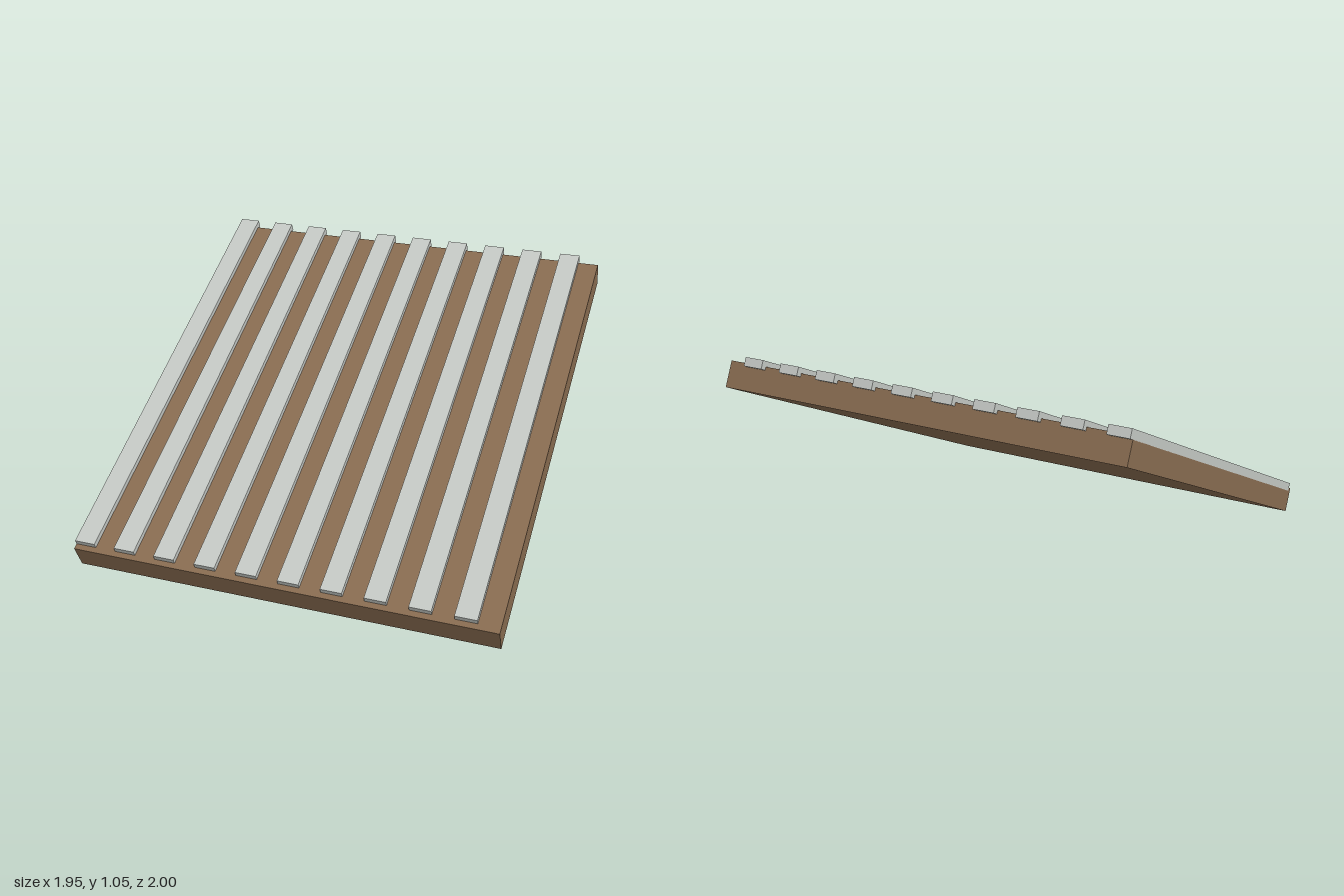
import * as THREE from 'three';

export function createModel() {
  const wood = new THREE.MeshStandardMaterial({ color: 0x876b50 });
  wood.name = 'brown wood';
  const metal = new THREE.MeshStandardMaterial({ color: 0xc3c7c3 });
  metal.name = 'light grey metal';

  const width = 1.946, length = 2.151, thickness = 0.12;
  const slatCount = 10;
  const pitch = width / slatCount;

  const model = new THREE.Group();
  model.name = 'slopedRoof';

  // Whole panel tilts down towards the front
  const slope = new THREE.Group();
  slope.name = 'slopedPanel';
  slope.rotation.x = THREE.MathUtils.degToRad(25);
  slope.position.y = 0.509;
  model.add(slope);

  // Wooden deck
  const deck = new THREE.Mesh(new THREE.BoxGeometry(width, thickness, length), wood);
  deck.name = 'deck';
  slope.add(deck);

  // Raised ribs, flush with the right edge and overhanging the high end
  const ribGeometry = new THREE.BoxGeometry(pitch / 2, 0.04, length);
  for (let i = 0; i < slatCount; i++) {
    const rib = new THREE.Mesh(ribGeometry, metal);
    rib.name = `rib${i + 1}`;
    rib.position.set(-width / 2 + pitch * (i + 0.25), 0.0645, -0.027);
    slope.add(rib);
  }

  return model;
}
